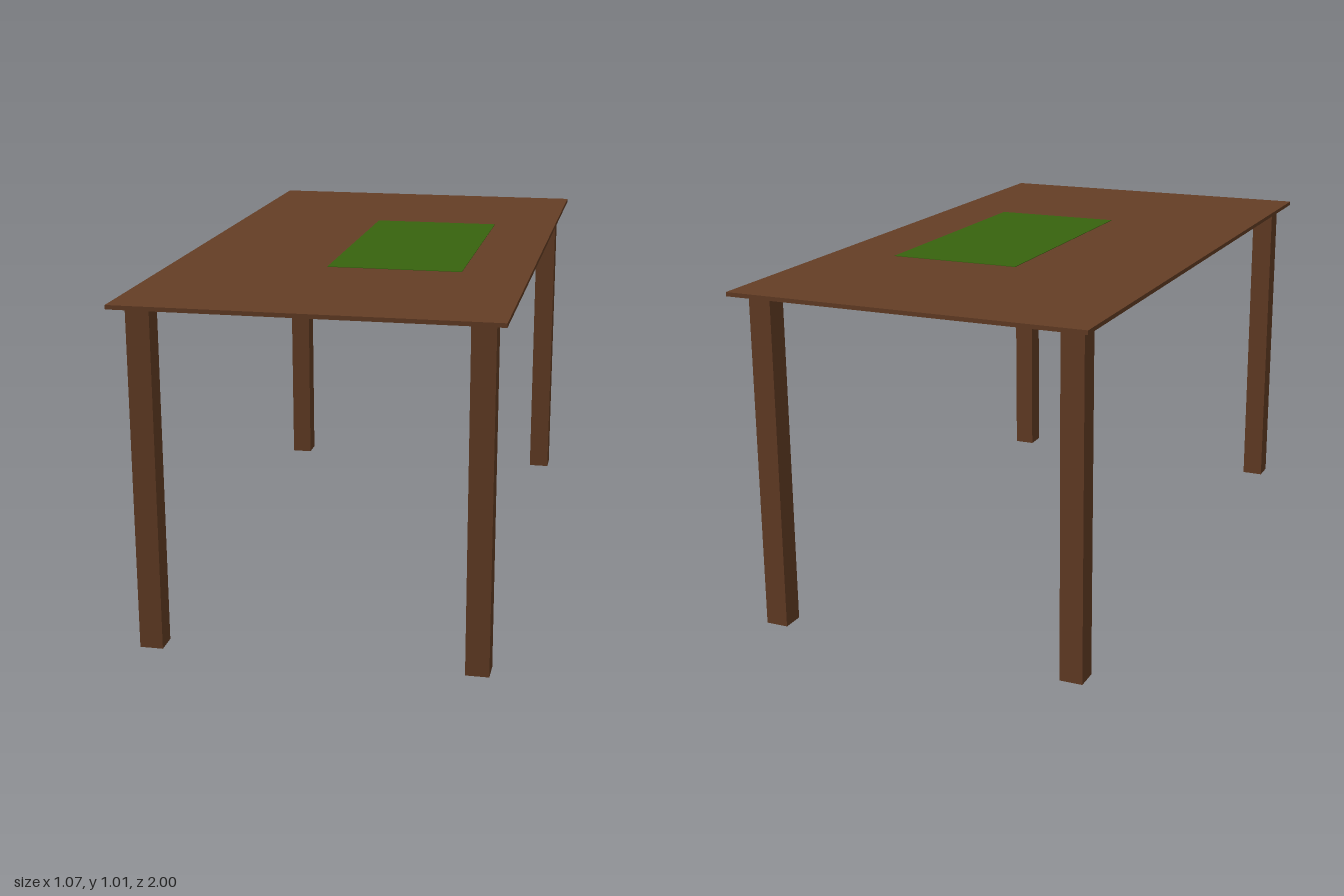
import * as THREE from 'three';

export function createModel() {
  const model = new THREE.Group();
  model.name = 'table';
  const wood = new THREE.MeshStandardMaterial({ color: 0x653e25 });
  const green = new THREE.MeshStandardMaterial({ color: 0x38640e });

  // Box placed by its centre in x and z, and its underside in y
  function box(name, material, [w, h, d], [x, y, z]) {
    const mesh = new THREE.Mesh(new THREE.BoxGeometry(w, h, d), material);
    mesh.name = name;
    mesh.position.set(x, y + h / 2, z);
    model.add(mesh);
  }

  // Thin top with a green mat lying off-centre
  box('tableTop', wood, [1.066, 0.012, 2], [0, 1, 0]);
  box('mat', green, [0.4, 0.002, 0.8], [0.133, 1.0115, 0]);

  // Four square legs
  for (const [side, x] of [['Left', 0.467], ['Right', -0.467]]) {
    for (const [end, z] of [['front', 0.906], ['back', -0.906]]) {
      box(`${end}${side}Leg`, wood, [0.067, 1, 0.067], [x, 0, z]);
    }
  }
  return model;
}
